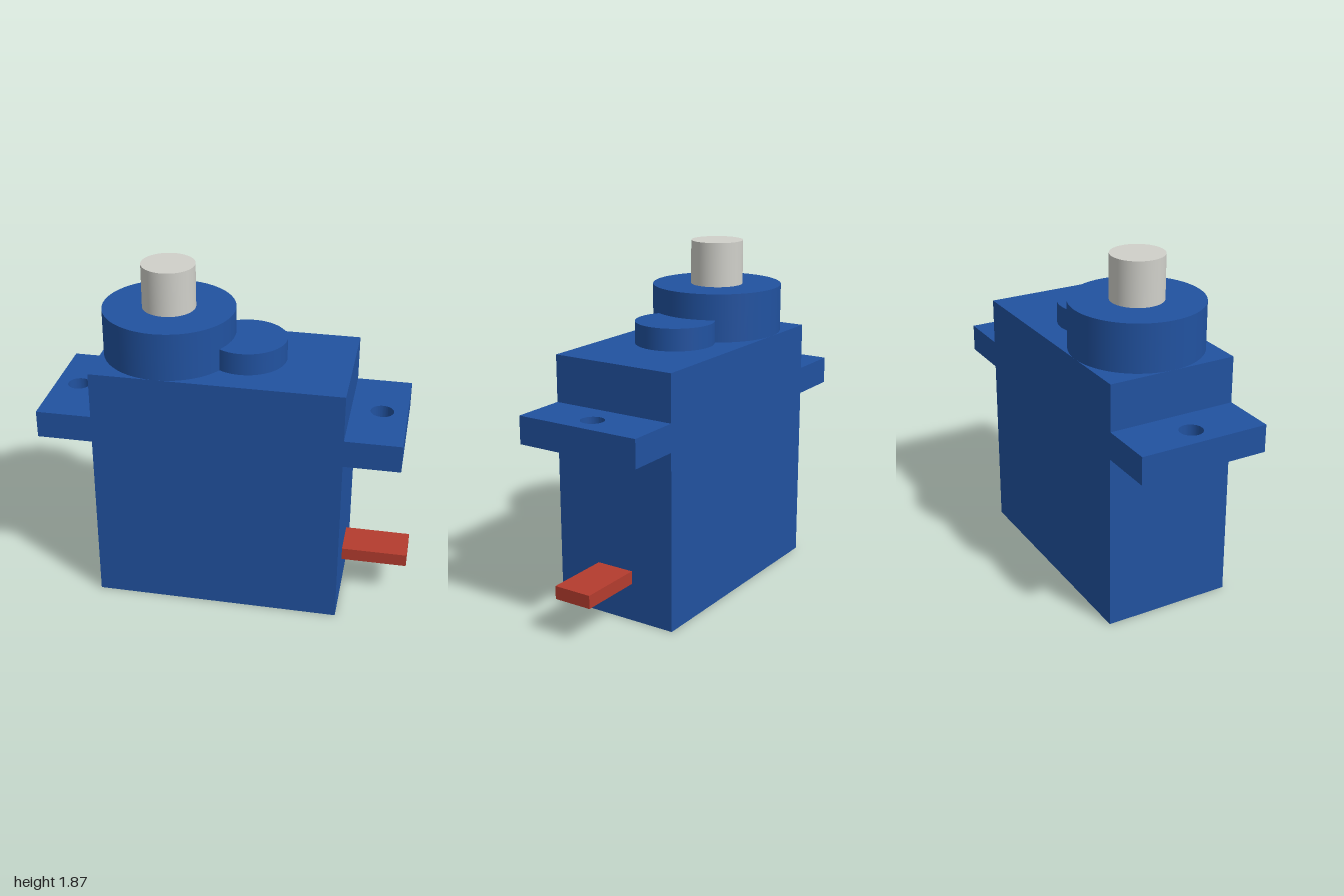
import * as THREE from 'three';
import { toCreasedNormals } from 'three/addons/utils/BufferGeometryUtils.js';

export function createModel() {
  const group = new THREE.Group();
  const material = (name, color) => {
    const m = new THREE.MeshStandardMaterial({ color });
    m.name = name;
    return m;
  };
  const blue = material('blue plastic', 0x2152a0);
  const grey = material('pale metal', 0xd0d0ca);
  const red = material('red cable', 0xb43c2e);

  const add = (name, geometry, mat, x, y, z = 0) => {
    const mesh = new THREE.Mesh(geometry, mat);
    mesh.name = name;
    mesh.position.set(x, y, z);
    group.add(mesh);
  };
  // Box and upright cylinder placed by their extents
  const box = (name, mat, x0, x1, y0, y1, depth) =>
    add(name, new THREE.BoxGeometry(x1 - x0, y1 - y0, depth), mat, (x0 + x1) / 2, (y0 + y1) / 2);
  const drum = (name, mat, x, radius, y0, y1) =>
    add(name, new THREE.CylinderGeometry(radius, radius, y1 - y0, 64), mat, x, (y0 + y1) / 2);

  const depth = 0.71;
  box('body', blue, -0.7, 0.64, 0, 1.37, depth);

  // Mounting ears, each with a screw hole
  const ear = (name, x0, x1, holeX) => {
    const h = depth / 2;
    const shape = new THREE.Shape([
      new THREE.Vector2(x0, -h), new THREE.Vector2(x1, -h),
      new THREE.Vector2(x1, h), new THREE.Vector2(x0, h),
    ]);
    shape.holes.push(new THREE.Path().absarc(holeX, 0, 0.062, 0, Math.PI * 2, true));
    const geometry = new THREE.ExtrudeGeometry(shape, { depth: 0.15, bevelEnabled: false, curveSegments: 32 });
    geometry.rotateX(-Math.PI / 2);
    add(name, toCreasedNormals(geometry, 0.6), blue, 0, 0.967);
  };
  ear('rightMountingEar', -1, -0.7, -0.87);
  ear('leftMountingEar', 0.64, 0.94, 0.805);

  // Gear housing and output shaft
  drum('mainGearHousing', blue, -0.345, 0.355, 1.37, 1.63);
  drum('smallGearHousing', blue, 0.075, 0.213, 1.37, 1.49);
  drum('outputShaft', grey, -0.345, 0.143, 1.63, 1.87);

  box('cable', red, 0.64, 1, 0.207, 0.278, 0.214);
  return group;
}
